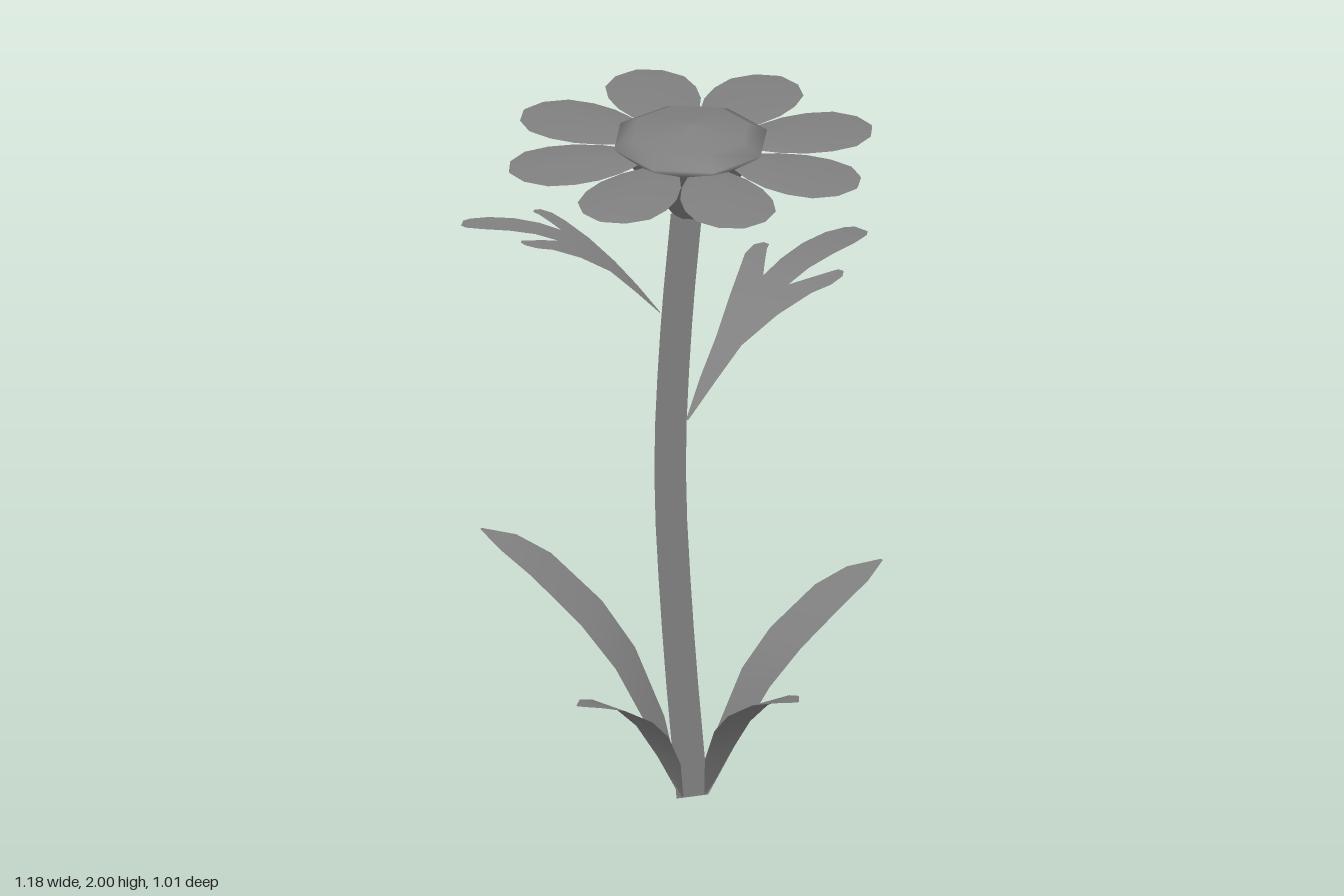
import * as THREE from 'three';
import { mergeVertices } from 'three/addons/utils/BufferGeometryUtils.js';

const mat = new THREE.MeshStandardMaterial({ color: 0x808080, side: THREE.DoubleSide });

// Strips along local +x; each row is [x, y, zLow, zHigh], with an optional own height for the zHigh side
function ribbon(...strips) {
  const pos = [], index = [];
  for (const rows of strips) {
    const start = pos.length / 3;
    rows.forEach(([x, y, lo, hi, yHi = y], i) => {
      pos.push(x, y, lo, x, yHi, hi);
      if (i === 0) return;
      const a = start + 2 * (i - 1);
      index.push(a, a + 1, a + 3, a, a + 3, a + 2);
    });
  }
  const g = new THREE.BufferGeometry();
  g.setAttribute('position', new THREE.Float32BufferAttribute(pos, 3));
  g.setIndex(index);
  const merged = mergeVertices(g, 1e-4);
  merged.computeVertexNormals();
  return merged;
}

// Linear lookup in a list of [t, value]
function sample(table, t) {
  for (let i = 1; i < table.length; i++) {
    const [t0, v0] = table[i - 1], [t1, v1] = table[i];
    if (t <= t1) return v0 + (v1 - v0) * (t - t0) / (t1 - t0);
  }
  return table[table.length - 1][1];
}

// Rise of the lobed leaves, relative to their length
const lobedRise = [[0, 0], [0.15, 0.155], [0.3, 0.29], [0.52, 0.39], [0.65, 0.42], [0.81, 0.427], [1, 0.41]];

// Three-lobed leaf of unit length
function lobedLeaf() {
  const row = (t, lo, hi) => [t, sample(lobedRise, t), lo, hi];
  const blade = [[0, 0.005], [0.12, 0.035], [0.24, 0.06], [0.38, 0.065], [0.51, 0.06], [0.62, 0.065],
    [0.75, 0.072], [0.88, 0.07], [0.97, 0.052], [1, 0.03]].map(([t, w]) => row(t, -w, w));
  const lobe = [[0.24, 0.06, 0.06], [0.38, 0.065, 0.115], [0.51, 0.06, 0.17],
    [0.58, 0.11, 0.205], [0.64, 0.15, 0.21], [0.67, 0.165, 0.19]];
  return ribbon(blade, lobe.map(([t, a, b]) => row(t, a, b)), lobe.map(([t, a, b]) => row(t, -b, -a)));
}

// Pointed leaf of unit length and unit rise: [t, rise, half width]
function pointedLeaf() {
  const rows = [[0, 0, 0.015], [0.12, 0.29, 0.09], [0.28, 0.55, 0.125], [0.45, 0.72, 0.138],
    [0.7, 0.89, 0.13], [0.86, 0.96, 0.095], [1, 1, 0.008]];
  return ribbon(rows.map(([t, y, w]) => [t, y, -w, w]));
}

export function createModel() {
  const model = new THREE.Group();
  const add = (name, geometry) => {
    const mesh = new THREE.Mesh(geometry, mat);
    mesh.name = name;
    model.add(mesh);
    return mesh;
  };

  // Places a leaf so that it runs from its foot to its tip
  const placeLeaf = (name, geometry, [x, y, z], [tx, ty, tz], rise) => {
    const mesh = add(name, geometry);
    const length = Math.hypot(tx - x, tz - z);
    mesh.position.set(x, y, z);
    mesh.rotation.y = Math.atan2(-(tz - z), tx - x);
    mesh.scale.set(length, (ty - y) / rise, length);
  };

  // Stem: a flat, bowed strip
  const stemPath = new THREE.CatmullRomCurve3([[-0.015, 0], [-0.055, 0.5], [-0.077, 0.98], [-0.06, 1.4], [-0.031, 1.74]]
    .map(([x, y]) => new THREE.Vector3(x, y, 0)));
  const stem = new THREE.PlaneGeometry(0.088, 1, 1, 12);
  const p = stem.attributes.position;
  for (let i = 0; i < p.count; i++) {
    const c = stemPath.getPoint(p.getY(i) + 0.5);
    p.setXYZ(i, p.getX(i) + c.x, c.y, 0);
  }
  stem.computeVertexNormals();
  add('stem', stem);

  // Flower centre: eight-sided cup with a low dome
  const profile = [[0, 1.737], [0.048, 1.737], [0.188, 1.925], [0.213, 1.952], [0.16, 1.979], [0, 2]]
    .map(([r, y]) => new THREE.Vector2(r, y));
  add('flowerCentre', new THREE.LatheGeometry(profile, 8)).position.x = -0.02;

  // Petals: arched across, with level edges
  const edge = 1.924;
  const petalRows = [[0.12, 1.93, 0.035], [0.17, 1.936, 0.06], [0.22, 1.939, 0.09], [0.29, 1.938, 0.115],
    [0.36, 1.936, 0.122], [0.43, 1.932, 0.11], [0.483, 1.927, 0.065], [0.505, 1.924, 0.004]];
  const petal = ribbon(
    petalRows.map(([r, y, w]) => [r, edge, -w, 0, y]),
    petalRows.map(([r, y, w]) => [r, y, 0, w, edge]));
  for (let i = 0; i < 8; i++) {
    const mesh = add('petal', petal);
    mesh.position.x = -0.02;
    mesh.rotation.y = i * Math.PI / 4;
  }

  // Lobed leaves on the stem
  const lobed = lobedLeaf();
  placeLeaf('upperLeaf', lobed, [-0.03, 1.12, 0], [0.576, 1.415, -0.405], 0.41);
  placeLeaf('upperLeaf', lobed, [-0.105, 1.45, 0], [-0.585, 1.67, -0.24], 0.41);

  // Pointed leaves at the foot
  const pointed = pointedLeaf();
  const feet = [
    [-0.045, [-0.5, 0.7, -0.35]],
    [-0.045, [-0.41, 0.44, 0.25]],
    [0.025, [0.15, 0.46, 0.435]],
    [0.025, [0.558, 0.555, -0.15]],
  ];
  for (const [x, tip] of feet) placeLeaf('baseLeaf', pointed, [x, 0.005, 0], tip, 1);

  return model;
}
